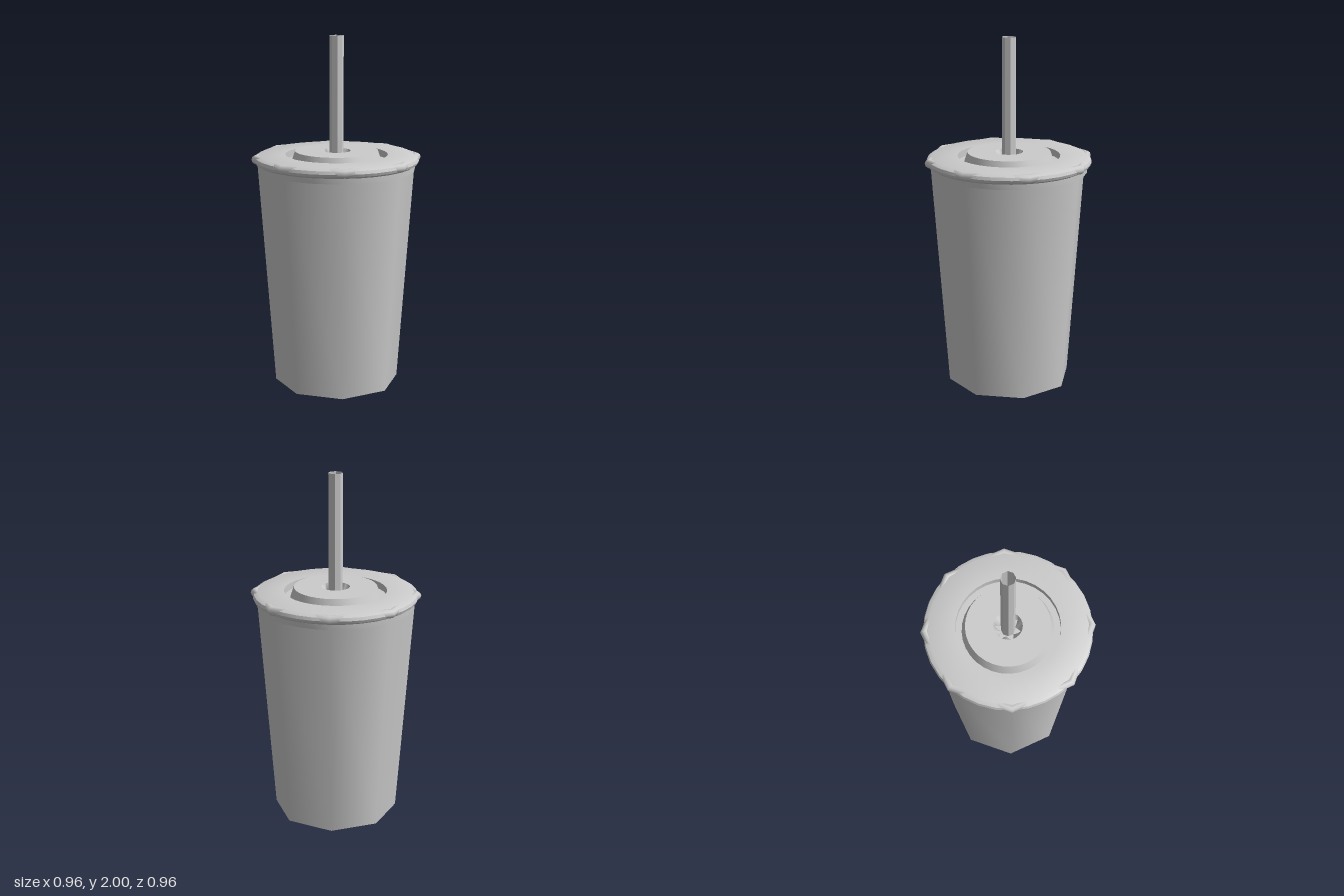
import * as THREE from 'three';
import { toCreasedNormals } from 'three/addons/utils/BufferGeometryUtils.js';

const material = new THREE.MeshStandardMaterial({ color: 0xcccccc, side: THREE.DoubleSide });

function part(name, geometry) {
  const mesh = new THREE.Mesh(geometry, material);
  mesh.name = name;
  return mesh;
}

// Revolve a [radius, height] profile, listed from bottom to top on the outside.
function revolve(profile, sides, crease) {
  const points = profile.map(([r, y]) => new THREE.Vector2(r, y));
  const geometry = new THREE.LatheGeometry(points, sides);
  return crease ? toCreasedNormals(geometry, crease) : geometry;
}

// Wall of the straw socket: a round rim running down to a six-pointed floor.
function socketWall(rimY, floorY, rimR, tipR, notchR) {
  const steps = 48, positions = [], index = [];
  for (let i = 0; i <= steps; i++) {
    const a = (i / steps) * Math.PI * 2;
    const toNotch = 1 - Math.abs(((i % 8) - 4) / 4);
    const r = 1 / THREE.MathUtils.lerp(1 / tipR, 1 / notchR, toNotch);
    positions.push(Math.sin(a) * rimR, rimY, Math.cos(a) * rimR);
    positions.push(Math.sin(a) * r, floorY, Math.cos(a) * r);
    if (i < steps) {
      const k = i * 2;
      index.push(k, k + 2, k + 1, k + 1, k + 2, k + 3);
    }
  }
  const geometry = new THREE.BufferGeometry();
  geometry.setAttribute('position', new THREE.Float32BufferAttribute(positions, 3));
  geometry.setIndex(index);
  geometry.computeVertexNormals();
  return geometry;
}

export function createModel() {
  const group = new THREE.Group();

  // Tapered eight-sided cup with a recessed base
  group.add(part('cupBody', revolve([[0.357, 0], [0.448, 1.29]], 8)));
  group.add(part('cupBase', revolve([[0, 0.04], [0.337, 0.04], [0.357, 0]], 8, 0.5)));

  // Rolled eight-sided rim
  const rim = new THREE.TorusGeometry(0.456, 0.025, 10, 8);
  rim.rotateX(Math.PI / 2);
  group.add(part('cupRim', rim));
  group.children.at(-1).position.y = 1.31;

  // Round lid: skirt, rolled edge, flat ring, moat and raised centre
  group.add(part('lid', revolve([
    [0.442, 1.25], [0.444, 1.28], [0.46, 1.29], [0.466, 1.305], [0.46, 1.322], [0.435, 1.335],
    [0.29, 1.335], [0.29, 1.295], [0.255, 1.295], [0.235, 1.355], [0.08, 1.355],
  ], 32, 0.6)));

  // Socket around the straw
  group.add(part('strawSocket', socketWall(1.355, 1.3, 0.08, 0.08, 0.041)));
  const star = new THREE.Shape();
  for (let i = 0; i < 12; i++) {
    const r = i % 2 ? 0.041 : 0.08, a = (i * Math.PI) / 6;
    star[i ? 'lineTo' : 'moveTo'](Math.sin(a) * r, Math.cos(a) * r);
  }
  const floor = new THREE.ShapeGeometry(star);
  floor.rotateX(-Math.PI / 2);
  floor.translate(0, 1.3, 0);
  group.add(part('socketFloor', floor));

  // Open, thin-walled straw
  const straw = new THREE.CylinderGeometry(0.04, 0.04, 0.7, 8, 1, true);
  straw.translate(0, 1.65, 0);
  group.add(part('straw', toCreasedNormals(straw, 0.5)));

  return group;
}
